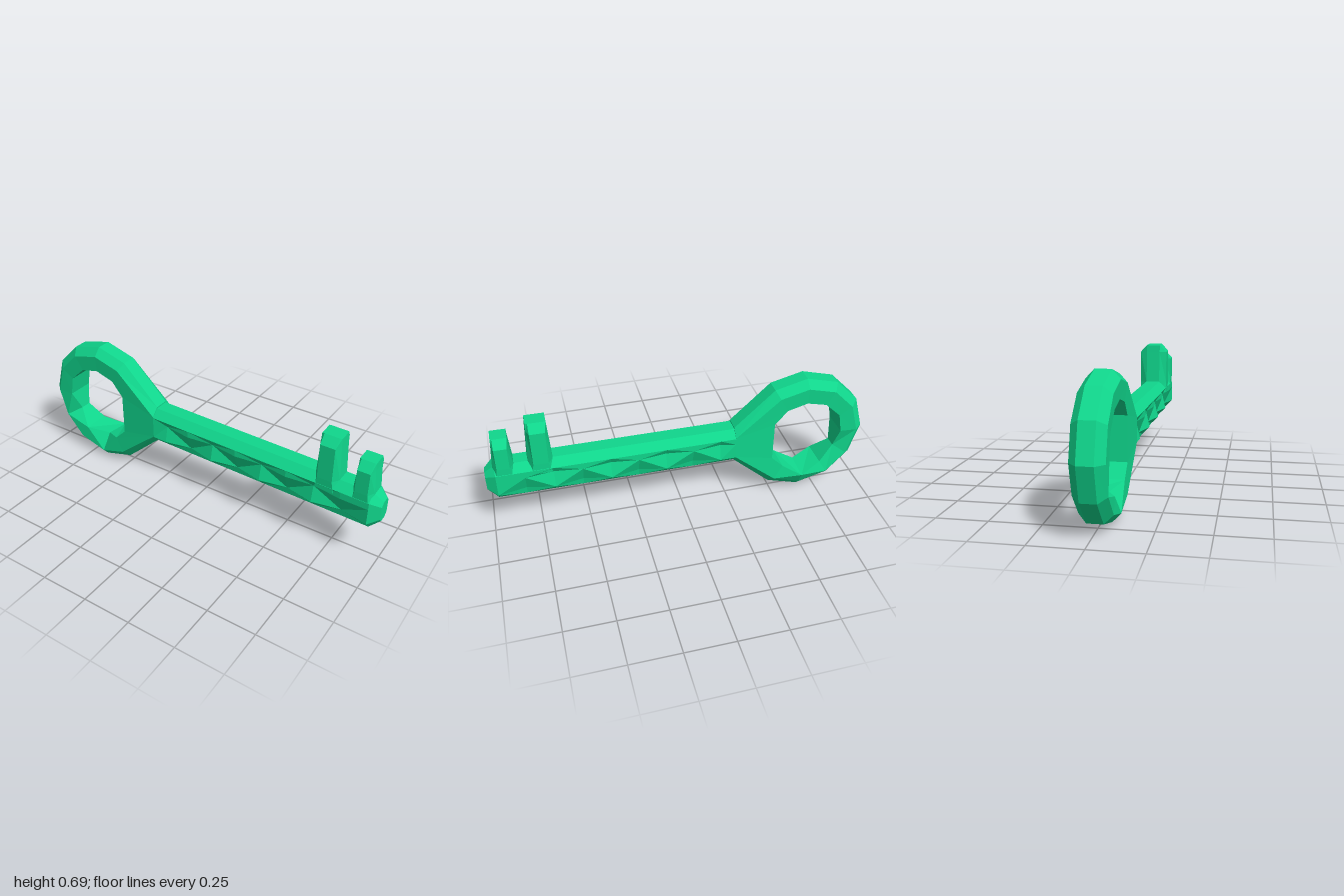
import * as THREE from 'three';

const green = new THREE.MeshStandardMaterial({ color: 0x10d68c });
green.name = 'green';

const EDGE = 0.038; // half width of the narrow outer band
const DEPTH = 0.077; // half thickness

// Join cross-sections into a faceted solid, capped or closed into a ring
function loft(name, sections, ring = false) {
  const n = sections[0].length;
  const tris = [];
  const count = ring ? sections.length : sections.length - 1;
  for (let i = 0; i < count; i++) {
    const a = sections[i], b = sections[(i + 1) % sections.length];
    for (let j = 0; j < n; j++) {
      const k = (j + 1) % n;
      if ((i + j) % 2) tris.push([a[j], b[j], b[k]], [a[j], b[k], a[k]]);
      else tris.push([a[j], b[j], a[k]], [b[j], b[k], a[k]]);
    }
  }
  if (!ring) {
    const first = sections[0], last = sections[sections.length - 1];
    for (let j = 1; j < n - 1; j++) {
      tris.push([first[0], first[j], first[j + 1]], [last[0], last[j + 1], last[j]]);
    }
  }
  // The signed volume tells whether the faces point outward
  const volume = tris.reduce((sum, [a, b, c]) => sum + a.dot(b.clone().cross(c)), 0);
  if (volume < 0) tris.forEach((t) => t.reverse());

  const points = tris.flat().map((p) => p.clone());
  points.forEach((p) => { p.z += 0.02 + 0.0175 * p.x; }); // slight skew along the key
  const geometry = new THREE.BufferGeometry().setFromPoints(points);
  geometry.computeVertexNormals();
  const mesh = new THREE.Mesh(geometry, green);
  mesh.name = name;
  return mesh;
}

const v = (x, y, z) => new THREE.Vector3(x, y, z);

// Ring handle with a web reaching to the shaft
function makeBow() {
  const outer = [[-0.66, 0.685], [-0.83, 0.64], [-0.95, 0.52], [-1, 0.345], [-0.95, 0.175], [-0.835, 0.05],
    [-0.66, 0.0], [-0.49, 0.05], [-0.28, 0.237], [-0.28, 0.442], [-0.49, 0.64]];
  const inner = [[-0.66, 0.555], [-0.765, 0.53], [-0.85, 0.45], [-0.87, 0.345], [-0.85, 0.235], [-0.77, 0.155],
    [-0.65, 0.135], [-0.555, 0.165], [-0.49, 0.23], [-0.49, 0.45], [-0.555, 0.525]];
  const sections = outer.map(([ox, oy], i) => {
    const [ix, iy] = inner[i];
    const web = i === 8 || i === 9;
    const toward = web ? v(-0.28, 0.34, 0) : v(ix, iy, 0);
    const o = v(ox, oy, 0);
    const m = o.clone().add(toward.sub(o).setLength(0.042));
    // Chipped spots on the inner rim, one pulled out at the back
    const front = i === 4 || i === 6 ? 0.02 : 0.072;
    const back = i === 6 ? 0.122 : i === 4 ? 0.04 : 0.072;
    return [
      v(ox, oy, EDGE), v(m.x, m.y, DEPTH), v(ix, iy, front),
      v(ix, i === 6 ? 0.12 : iy, -back), v(m.x, m.y, -DEPTH), v(ox, oy, -EDGE),
    ];
  });
  return loft('bow', sections, true);
}

// Bevelled shaft with alternating dents along front and back
function makeShaft() {
  const sections = [];
  const section = (x, dent, bevel = 0) => {
    const hi = 0.432 - 0.012 * x - bevel, lo = 0.232 - 0.012 * x + bevel;
    const shrink = bevel ? 0.5 : 1;
    const drop = 0.04 * shrink, d = DEPTH * shrink, e = EDGE * shrink;
    const mid = dent === 1 ? 0.058 : d;
    const low = dent === 2 ? 0.045 : d;
    const side = [[hi, e], [hi - drop, d], [(hi + lo) / 2 + 0.025 * shrink, mid], [lo + drop, low], [lo, e]];
    return [
      ...side.map(([y, z]) => v(x, y, z)),
      ...side.reverse().map(([y, z]) => v(x, y, -z)),
    ];
  };
  sections.push(section(-0.28, 0));
  for (let i = 0; i < 8; i++) sections.push(section(-0.2 + i * 0.144, i % 2 ? 2 : 1));
  sections.push(section(0.95, 0), section(1, 0, 0.045));
  return loft('shaft', sections);
}

// Upright tooth with bevelled corners and top
function makeTooth(name, x, top, wide, narrow) {
  const section = (y, w, n, d) => [
    v(x + w, y, EDGE), v(x + n, y, d), v(x - n, y, d), v(x - w, y, EDGE),
    v(x - w, y, -EDGE), v(x - n, y, -d), v(x + n, y, -d), v(x + w, y, -EDGE),
  ];
  return loft(name, [
    section(0.36, wide, narrow + 0.01, DEPTH - 0.002),
    section(0.42, wide - 0.004, narrow, DEPTH),
    section(top - 0.04, wide - 0.014, narrow, DEPTH),
    section(top, wide - 0.016, narrow, EDGE + 0.001),
  ]);
}

export function createModel() {
  const key = new THREE.Group();
  key.name = 'key';
  key.add(
    makeBow(),
    makeShaft(),
    makeTooth('innerTooth', 0.722, 0.642, 0.066, 0.038),
    makeTooth('outerTooth', 0.905, 0.578, 0.056, 0.032),
  );
  return key;
}
